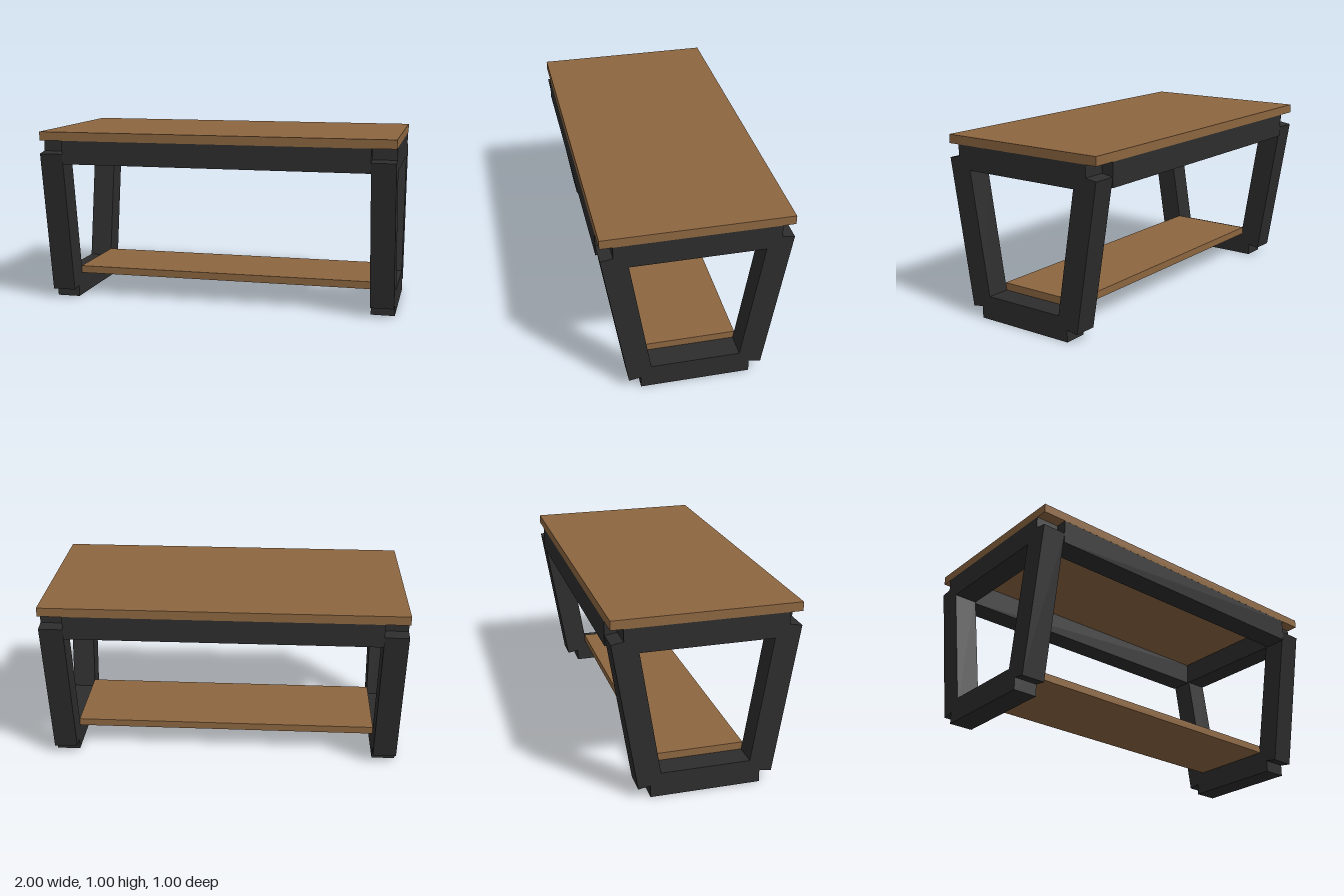
import * as THREE from 'three';

export function createModel() {
  const wood = new THREE.MeshStandardMaterial({ color: 0x8c6640 });
  wood.name = 'wood';
  const darkMetal = new THREE.MeshStandardMaterial({ color: 0x2d2d2d });
  darkMetal.name = 'dark metal';

  const group = new THREE.Group();
  group.name = 'table';

  const bar = 0.133; // square tube size
  const railY = 0.885; // centre line of the upper rails
  const footY = bar / 2;
  const topZ = 0.433, footZ = 0.3; // leg centre line ends

  function box(name, material, size, position, parent = group) {
    const mesh = new THREE.Mesh(new THREE.BoxGeometry(...size), material);
    mesh.name = name;
    mesh.position.set(...position);
    parent.add(mesh);
    return mesh;
  }

  // Wooden boards
  box('tableTop', wood, [2, 0.049, 1], [0, 0.9755, 0]);
  box('lowerShelf', wood, [1.734, 0.042, 0.5], [0, 0.154, 0]);

  // Long rails under the top
  for (const s of [1, -1]) {
    box(s > 0 ? 'frontRail' : 'backRail', darkMetal, [1.734, bar, bar], [0, railY, s * topZ]);
  }

  // Side frames: upper rail, foot beam and two sloping legs
  const rise = railY - footY, run = topZ - footZ;
  const legLength = Math.hypot(rise, run);
  for (const side of [1, -1]) {
    const frame = new THREE.Group();
    frame.name = side > 0 ? 'leftFrame' : 'rightFrame';
    frame.position.x = side * (1 - bar / 2);
    group.add(frame);
    box('sideRail', darkMetal, [bar, bar, topZ * 2], [0, railY, 0], frame);
    box('footBeam', darkMetal, [bar, bar, footZ * 2], [0, footY, 0], frame);
    for (const s of [1, -1]) {
      const leg = box(s > 0 ? 'frontLeg' : 'backLeg', darkMetal, [bar, legLength, bar],
        [0, (railY + footY) / 2, s * (topZ + footZ) / 2], frame);
      leg.rotation.x = s * Math.atan2(run, rise);
    }
  }
  return group;
}
